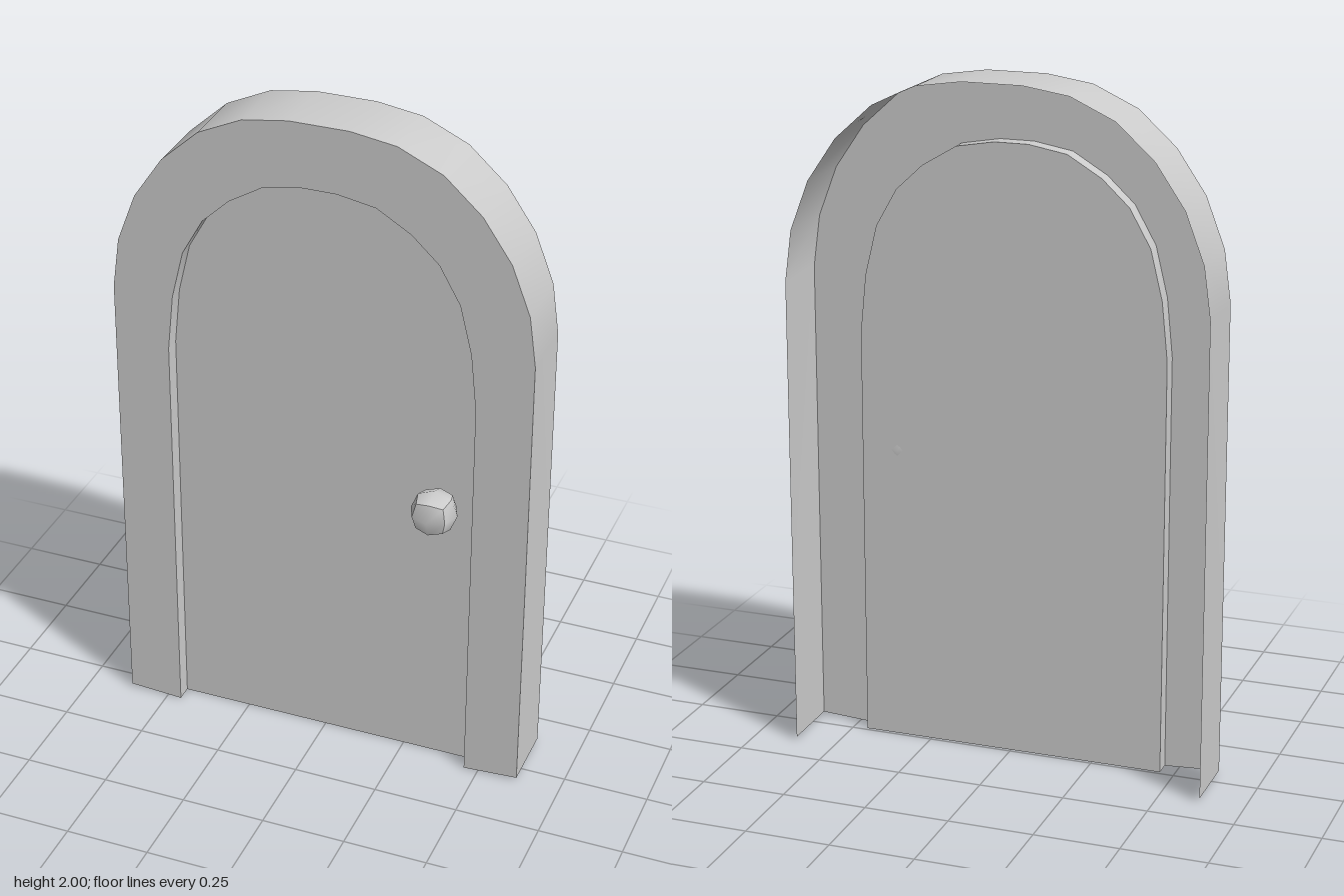
import * as THREE from 'three';

const FRONT = 0.058, BACK = -0.142, PANEL = 0.01;

// Right half of each arch, from the foot up to the crown
const outerHalf = [[0.62, 0.01], [0.62, 1.4], [0.6, 1.55], [0.545, 1.695],
  [0.46, 1.82], [0.35, 1.92], [0.22, 1.98], [0.087, 2]];
const innerHalf = [[0.457, 0], [0.457, 1.23], [0.44, 1.4], [0.405, 1.545],
  [0.343, 1.655], [0.263, 1.73], [0.163, 1.79], [0.05, 1.81]];

const mirror = (half) => [...half, ...half.slice().reverse().map(([x, y]) => [-x, y])];

const material = new THREE.MeshStandardMaterial({ color: 0xcccccc, side: THREE.DoubleSide });

function addMesh(group, name, geometry) {
  const mesh = new THREE.Mesh(geometry, material);
  mesh.name = name;
  group.add(mesh);
  return mesh;
}

// Band of quads between two outlines, each lying at its own depth
function band(a, za, b, zb) {
  const positions = [], index = [];
  a.forEach(([x, y], i) => {
    positions.push(x, y, za, b[i][0], b[i][1], zb);
    if (i < a.length - 1) {
      const k = 2 * i;
      index.push(k, k + 1, k + 2, k + 1, k + 3, k + 2);
    }
  });
  const geometry = new THREE.BufferGeometry();
  geometry.setAttribute('position', new THREE.Float32BufferAttribute(positions, 3));
  geometry.setIndex(index);
  geometry.computeVertexNormals();
  return geometry;
}

// Faceted ball: a subdivided cube pushed out to a sphere
function cubeBall(radius) {
  const geometry = new THREE.BoxGeometry(1, 1, 1, 2, 2, 2);
  const p = geometry.attributes.position, v = new THREE.Vector3();
  for (let i = 0; i < p.count; i++) {
    v.fromBufferAttribute(p, i).setLength(radius);
    p.setXYZ(i, v.x, v.y, v.z);
  }
  geometry.computeVertexNormals();
  return geometry;
}

export function createModel() {
  const model = new THREE.Group();
  model.name = 'archedDoor';
  const outer = mirror(outerHalf), inner = mirror(innerHalf);

  // Frame: a thin shell, open at the back and underneath
  const frame = new THREE.Group();
  frame.name = 'frame';
  addMesh(frame, 'frameOuterWall', band(outer, FRONT, outer, BACK));
  addMesh(frame, 'frameFace', band(inner, FRONT, outer, FRONT));
  addMesh(frame, 'frameReveal', band(inner, PANEL, inner, FRONT));
  model.add(frame);

  // Recessed door panel
  const shape = new THREE.Shape(inner.map(([x, y]) => new THREE.Vector2(x, y)));
  addMesh(model, 'doorPanel', new THREE.ShapeGeometry(shape)).position.z = PANEL;

  // Knob, just poking through the panel
  addMesh(model, 'knob', cubeBall(0.069)).position.set(0.35, 0.886, 0.072);

  return model;
}
